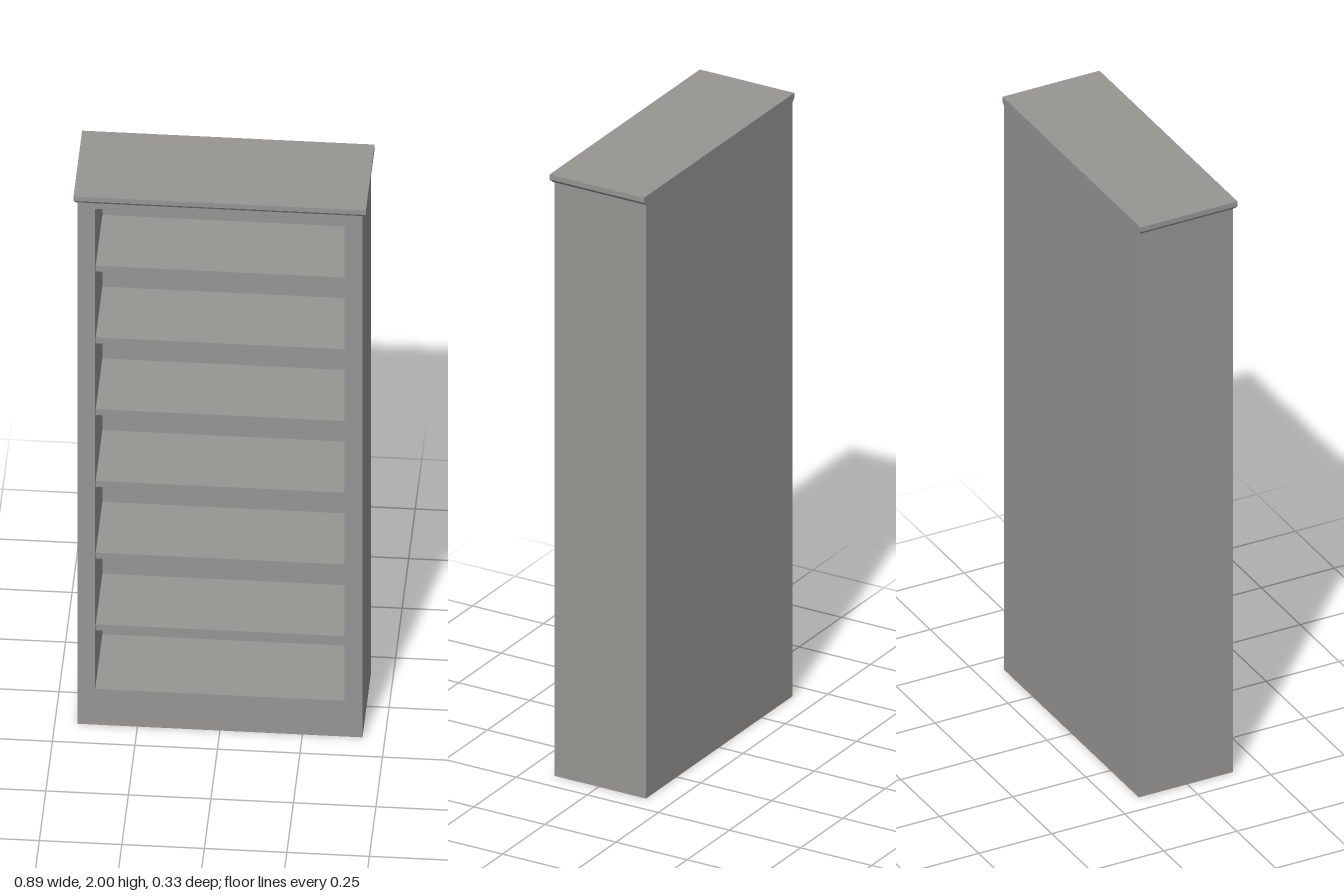
import * as THREE from 'three';

const paint = new THREE.MeshStandardMaterial({ color: 0x989693 });
paint.name = 'warm grey paint';

// Main dimensions
const W = 0.432, FRONT = 0.156, BACK = -0.166;   // outer half width, front and back
const IN_W = 0.378, IN_BOTTOM = 0.135, IN_TOP = 1.95;
const IN_BACK = -0.12, SHELF_FRONT = 0.136;
const TOP_W = 0.443, TOP_FRONT = 0.166, BODY_TOP = 1.973;

export function createModel() {
  const group = new THREE.Group();

  const add = (name, geometry) => {
    const mesh = new THREE.Mesh(geometry, paint);
    mesh.name = name;
    group.add(mesh);
    return mesh;
  };
  // Box given by its minimum and maximum on each axis
  const box = (name, x0, x1, y0, y1, z0, z1) => {
    const g = new THREE.BoxGeometry(x1 - x0, y1 - y0, z1 - z0);
    g.translate((x0 + x1) / 2, (y0 + y1) / 2, (z0 + z1) / 2);
    return add(name, g);
  };

  // Carcass: one outline with the opening cut through it
  const outline = new THREE.Shape([
    new THREE.Vector2(-W, 0), new THREE.Vector2(W, 0),
    new THREE.Vector2(W, BODY_TOP), new THREE.Vector2(-W, BODY_TOP),
  ]);
  outline.holes.push(new THREE.Path([
    new THREE.Vector2(-IN_W, IN_BOTTOM), new THREE.Vector2(-IN_W, IN_TOP),
    new THREE.Vector2(IN_W, IN_TOP), new THREE.Vector2(IN_W, IN_BOTTOM),
  ]));
  const carcass = new THREE.ExtrudeGeometry(outline, { depth: FRONT - BACK, bevelEnabled: false });
  add('carcass', carcass.translate(0, 0, BACK));

  // Back panel closing the opening
  box('backPanel', -IN_W, IN_W, IN_BOTTOM, IN_TOP, BACK, IN_BACK);

  // Top board with a moulding that narrows downwards on the front and sides
  box('topBoard', -TOP_W, TOP_W, 1.983, 2, BACK, TOP_FRONT);
  const moulding = new THREE.BoxGeometry(2 * TOP_W, 0.01, TOP_FRONT - BACK);
  moulding.translate(0, 1.978, (TOP_FRONT + BACK) / 2);
  const p = moulding.attributes.position;
  for (let i = 0; i < p.count; i++) {
    if (p.getY(i) > 1.978) continue;
    p.setX(i, Math.sign(p.getX(i)) * (W + 0.003));
    if (p.getZ(i) > 0) p.setZ(i, FRONT + 0.003);
  }
  moulding.computeVertexNormals();
  add('topMoulding', moulding);

  // Six shelves, each on four small pins
  for (let i = 0; i < 6; i++) {
    const top = 0.364 + i * 0.2712;
    box('shelf', -IN_W, IN_W, top - 0.022, top, IN_BACK, SHELF_FRONT);
    for (const side of [-1, 1]) {
      for (const z of [-0.08, 0.1]) {
        const pin = new THREE.CylinderGeometry(0.004, 0.004, 0.008, 10);
        pin.rotateZ(Math.PI / 2);
        add('shelfPin', pin).position.set(side * (IN_W - 0.004), top - 0.026, z);
      }
    }
  }
  return group;
}
